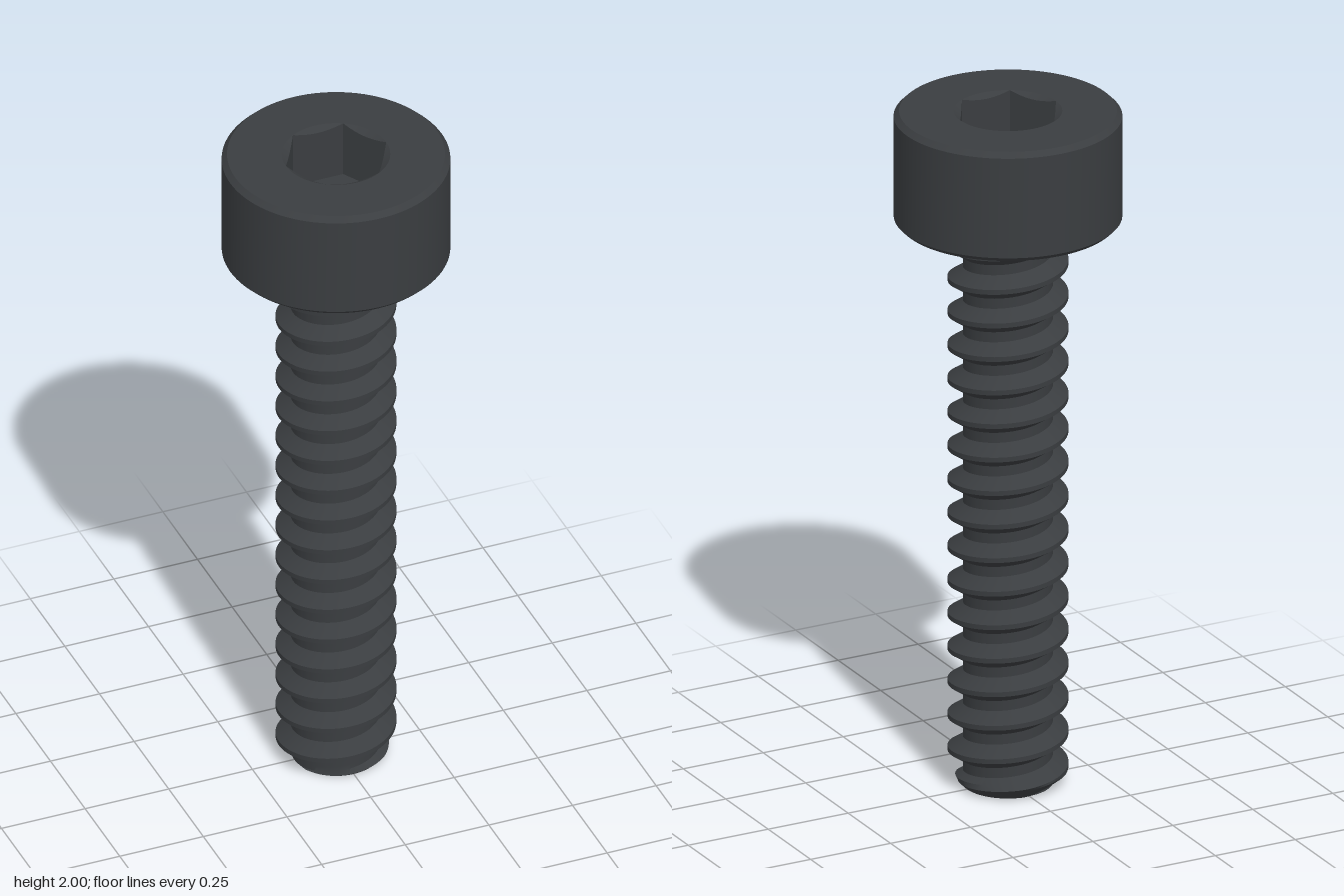
import * as THREE from 'three';
import { toCreasedNormals } from 'three/addons/utils/BufferGeometryUtils.js';

const SIDES = 96;
const HEAD_BASE = 1.675, TOP = 2;
const PITCH = 0.1, MINOR = 0.125, MAJOR = 0.167;

// Surface swept round the y axis: point(row, angle) gives [radius, height].
// Rows run up the outside and inwards over the top.
function sweptSurface(rows, point) {
  const positions = [];
  const at = (row, i) => {
    const a = (i / SIDES) * Math.PI * 2;
    const [r, y] = point(row, a);
    return new THREE.Vector3(r * Math.cos(a), y, -r * Math.sin(a));
  };
  const addTriangle = (a, b, c) => {
    const area = b.clone().sub(a).cross(c.clone().sub(a)).length();
    if (area < 1e-9) return; // skip collapsed faces
    for (const p of [a, b, c]) positions.push(p.x, p.y, p.z);
  };
  for (let row = 0; row < rows - 1; row++) {
    for (let i = 0; i < SIDES; i++) {
      const a = at(row, i), b = at(row, i + 1);
      const c = at(row + 1, i + 1), d = at(row + 1, i);
      addTriangle(a, b, c);
      addTriangle(a, c, d);
    }
  }
  const geometry = new THREE.BufferGeometry();
  geometry.setAttribute('position', new THREE.Float32BufferAttribute(positions, 3));
  return toCreasedNormals(geometry, 0.5);
}

// Thread tooth: [fraction of pitch measured from the crest, radius]
const TOOTH = [
  [0, MAJOR], [0.07, MAJOR], [0.21, (MAJOR + MINOR) / 2], [0.35, MINOR],
  [0.5, MINOR], [0.65, MINOR], [0.79, (MAJOR + MINOR) / 2], [0.93, MAJOR], [1, MAJOR],
];

function threadRadius(y, angle) {
  const turns = (y - 0.01) / PITCH - angle / (Math.PI * 2);
  const f = turns - Math.floor(turns);
  let k = 0;
  while (k < TOOTH.length - 2 && f > TOOTH[k + 1][0]) k++;
  const [f0, r0] = TOOTH[k], [f1, r1] = TOOTH[k + 1];
  const r = r0 + ((r1 - r0) * (f - f0)) / (f1 - f0);
  // Chamfered tip below, fillet under the head above
  const t = THREE.MathUtils.clamp((y - HEAD_BASE + 0.045) / 0.045, 0, 1);
  const fillet = MINOR + 0.045 * (1 - Math.sqrt(1 - t * t));
  return Math.max(Math.min(r, 0.128 + y), fillet);
}

// Right-handed helical thread, rows following the helix and trimmed at both ends
function threadGeometry() {
  const perTurn = TOOTH.length - 1;
  const firstTurn = -2, lastTurn = Math.ceil(HEAD_BASE / PITCH) + 1;
  return sweptSurface((lastTurn - firstTurn) * perTurn + 1, (row, angle) => {
    const turn = firstTurn + Math.floor(row / perTurn);
    const lift = turn + TOOTH[row % perTurn][0] + angle / (Math.PI * 2);
    const y = THREE.MathUtils.clamp(0.01 + PITCH * lift, 0, HEAD_BASE);
    return [threadRadius(y, angle), y];
  });
}

// Hexagonal socket with corners on the x axis and a conical lead-in
function socketGeometry() {
  const corner = 0.15, flat = corner * Math.cos(Math.PI / 6), floor = 1.83;
  return sweptSurface(4, (row, angle) => {
    const fromFlat = (angle % (Math.PI / 3)) - Math.PI / 6;
    const hex = flat / Math.cos(fromFlat);
    return [
      [corner, TOP],
      [hex, TOP - (corner - hex) * 0.6],
      [hex, floor],
      [0, floor],
    ][row];
  });
}

export function createModel() {
  const group = new THREE.Group();
  group.name = 'socketHeadScrew';
  const material = new THREE.MeshStandardMaterial({ color: 0x3a3d40 });
  const add = (name, geometry) => {
    const mesh = new THREE.Mesh(geometry, material);
    mesh.name = name;
    group.add(mesh);
  };

  // Head with chamfered rims, open in the middle of the top for the socket
  const headProfile = [
    [0.12, HEAD_BASE], [0.303, HEAD_BASE], [0.316, HEAD_BASE + 0.013],
    [0.316, TOP - 0.015], [0.301, TOP], [0.15, TOP],
  ];
  add('head', sweptSurface(headProfile.length, (row) => headProfile[row]));
  add('hexSocket', socketGeometry());
  add('threadedShank', threadGeometry());
  // Flat end of the shank
  add('shankTip', sweptSurface(2, (row, angle) => [row ? threadRadius(0, angle) : 0, 0]));
  return group;
}
